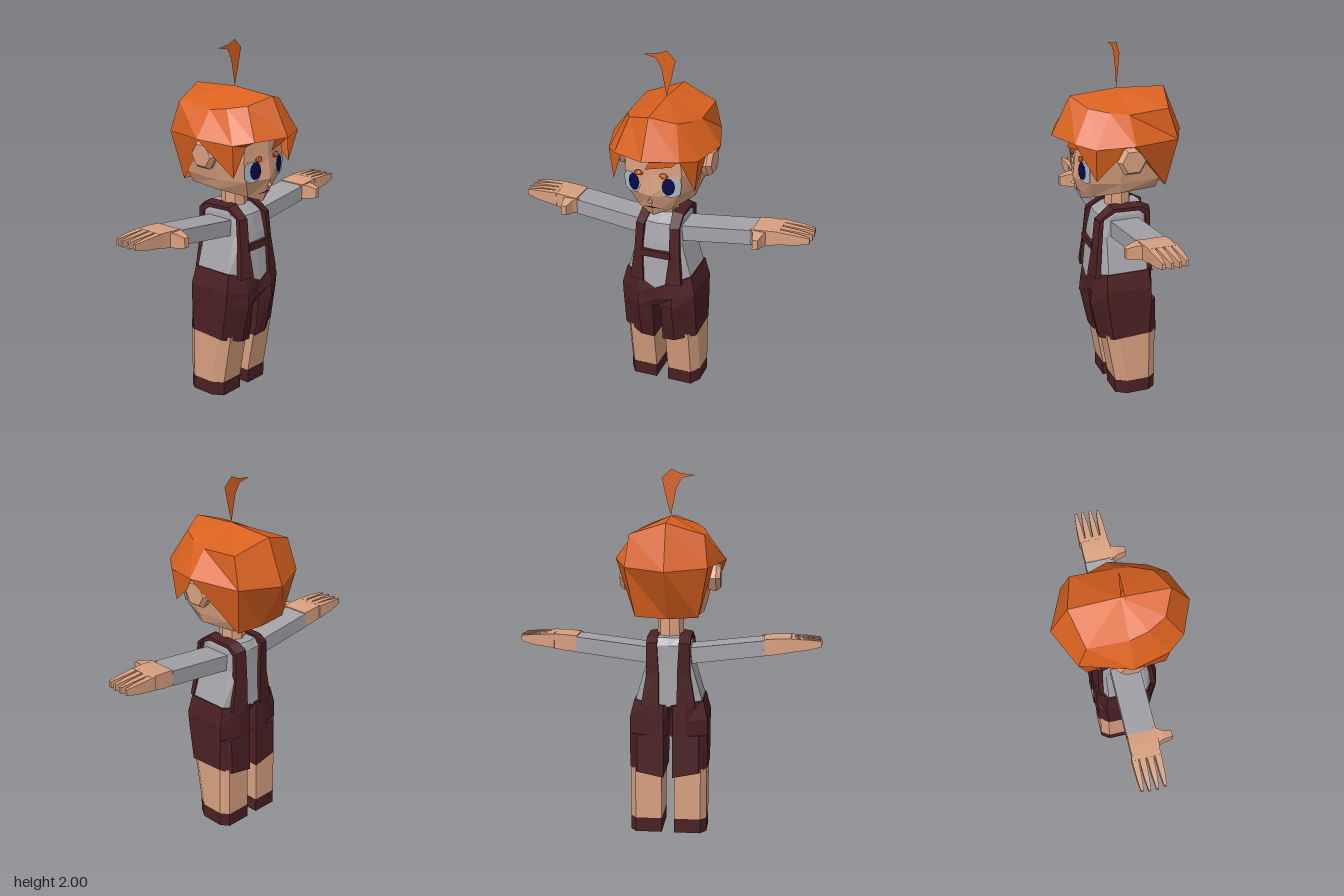
import * as THREE from 'three';

const mat = (name, color, double) => {
  const m = new THREE.MeshStandardMaterial({ color, flatShading: true });
  m.name = name;
  if (double) m.side = THREE.DoubleSide;
  return m;
};

// Skins a list of equal-length point rings; winding is fixed from the enclosed volume.
function loft(rings, capStart = true, capEnd = true) {
  const tris = [], n = rings[0].length;
  for (let r = 0; r + 1 < rings.length; r++)
    for (let i = 0; i < n; i++) {
      const j = (i + 1) % n, a = rings[r], b = rings[r + 1];
      tris.push([a[i], a[j], b[j]], [a[i], b[j], b[i]]);
    }
  const cap = (ring, flip) => {
    const c = [0, 1, 2].map(k => ring.reduce((s, p) => s + p[k], 0) / n);
    ring.forEach((p, i) => {
      const q = ring[(i + 1) % n];
      tris.push(flip ? [c, q, p] : [c, p, q]);
    });
  };
  if (capStart) cap(rings[0], true);
  if (capEnd) cap(rings[rings.length - 1], false);
  const v = p => new THREE.Vector3(...p);
  const o = v(rings[0][0]);
  const volume = tris.reduce((s, t) =>
    s + v(t[0]).sub(o).dot(v(t[1]).sub(o).cross(v(t[2]).sub(o))), 0);
  const g = new THREE.BufferGeometry();
  const flat = tris.flatMap(t => (volume < 0 ? [t[0], t[2], t[1]] : t)).flat();
  g.setAttribute('position', new THREE.Float32BufferAttribute(flat, 3));
  g.computeVertexNormals();
  return g;
}

// Completes a front-to-back half ring with its mirror image.
const mirrorRing = half => [...half, ...half.slice(1, -1).reverse().map(([x, y, z]) => [-x, y, z])];
const level = (y, pts) => pts.map(([x, z]) => [x, y, z]);
const flipX = (rings, s) => rings.map(r => r.map(([x, y, z]) => [x * s, y, z]));

// Height-dependent depth of the face, falling away to both sides.
function faceZ(x, y) {
  const low = y < 1.28;
  const t = low ? (y - 1.145) / 0.135 : Math.min((y - 1.28) / 0.12, 1);
  const mid = low ? 0.2 + 0.05 * t : 0.25 - 0.015 * t;
  const slope = low ? 0.33 + 0.03 * t : 0.36 - 0.14 * t;
  return mid - Math.abs(x) * slope;
}

// Thin face plate from a 2D outline laid over a depth rule.
function plate(pts, depth) {
  const g = new THREE.ShapeGeometry(new THREE.Shape(pts.map(p => new THREE.Vector2(...p))));
  const p = g.attributes.position;
  for (let i = 0; i < p.count; i++) p.setZ(i, depth(p.getX(i), p.getY(i)));
  g.computeVertexNormals();
  return g;
}
const oval = (cx, cy, rx, ry, n = 10) => Array.from({ length: n }, (_, i) => {
  const a = (i / n) * Math.PI * 2;
  return [cx + rx * Math.cos(a), cy + ry * Math.sin(a)];
});

export function createModel() {
  const root = new THREE.Group();
  root.name = 'figure';
  const hair = mat('hair orange', 0xd9611f, true), skin = mat('skin', 0xd8a07f);
  const cloth = mat('shirt grey', 0xa2a2a8), maroon = mat('dark maroon', 0x4a2023);
  const white = mat('eye white', 0xa9bcc2, true), navy = mat('iris navy', 0x07074a, true);
  const lip = mat('mouth brown', 0x6b4a3e, true);
  const add = (name, geo, m) => {
    const mesh = new THREE.Mesh(geo, m);
    mesh.name = name;
    root.add(mesh);
    return mesh;
  };

  // Head and neck
  add('head', loft([
    [[0, 1.145, 0.2], [0.09, 1.18, 0.17], [0.18, 1.22, 0.04], [0.15, 1.22, -0.17], [0, 1.225, -0.19]],
    level(1.28, [[0, 0.25], [0.14, 0.2], [0.2, 0.05], [0.18, -0.18], [0, -0.22]]),
    level(1.4, [[0, 0.235], [0.16, 0.2], [0.225, 0.05], [0.2, -0.17], [0, -0.24]]),
    level(1.5, [[0, 0.23], [0.15, 0.2], [0.215, 0.05], [0.2, -0.17], [0, -0.24]]),
    level(1.6, [[0, 0.2], [0.12, 0.17], [0.19, 0.03], [0.17, -0.16], [0, -0.22]]),
  ].map(mirrorRing)), skin);
  add('neck', new THREE.CylinderGeometry(0.07, 0.075, 0.16, 8), skin).position.set(0, 1.15, -0.005);
  add('nose', new THREE.ConeGeometry(0.016, 0.025, 4), skin).position.set(0, 1.255, 0.245);

  // Hair cap: crown, wide rim, then jagged lower edge
  add('hair', loft([
    Array.from({ length: 6 }, () => [0, 1.75, 0]),
    [[0, 1.73, 0.26], [0.13, 1.69, 0.2], [0.18, 1.67, 0.1], [0.2, 1.655, 0], [0.2, 1.67, -0.22], [0, 1.735, -0.27]],
    [[0, 1.525, 0.365], [0.18, 1.52, 0.29], [0.25, 1.5, 0.2], [0.305, 1.515, 0], [0.22, 1.5, -0.27], [0, 1.49, -0.37]],
    [[0, 1.545, 0.265], [0.17, 1.485, 0.225], [0.23, 1.32, 0.19], [0.24, 1.5, 0], [0.17, 1.23, -0.22], [0, 1.22, -0.225]],
  ].map(mirrorRing), false, false), hair);
  add('fringeLock', plate([[0.04, 1.55], [-0.02, 1.44], [0.12, 1.465], [0.17, 1.51]],
    (x, y) => faceZ(x, y) + 0.04), hair);
  add('cowlick', plate([[0, 1.75], [0.022, 1.83], [0.05, 1.95], [0, 2], [-0.05, 1.978], [-0.13, 1.967],
    [-0.06, 1.952], [-0.03, 1.9]], () => 0), hair);

  // Mouth
  add('mouth', plate([[-0.06, 1.195], [0, 1.213], [0.06, 1.195], [0, 1.203]],
    (x, y) => faceZ(x, y) + 0.008), lip);

  // Torso with a pointed front hem
  add('shirt', loft([
    [[0, 0.68, 0.185], [0.1, 0.73, 0.175], [0.186, 0.74, 0.11], [0.186, 0.74, -0.11], [0.1, 0.73, -0.16], [0, 0.72, -0.16]],
    level(0.95, [[0, 0.152], [0.1, 0.145], [0.125, 0.1], [0.125, -0.11], [0.1, -0.15], [0, -0.15]]),
    level(1.06, [[0, 0.13], [0.09, 0.12], [0.115, 0.07], [0.115, -0.11], [0.09, -0.148], [0, -0.15]]),
    level(1.1, [[0, 0.07], [0.07, 0.06], [0.1, 0.03], [0.1, -0.08], [0.07, -0.12], [0, -0.13]]),
  ].map(mirrorRing)), cloth);
  add('chestStrap', new THREE.BoxGeometry(0.17, 0.04, 0.03), maroon).position.set(0, 0.888, 0.16);

  // Seat of the shorts, notched along the back
  add('shortsSeat', loft([
    level(0.55, [[0, 0.15], [0.1, 0.19], [0.215, 0.12], [0.215, -0.13], [0.1, -0.17], [0.025, -0.17], [0, -0.1]]),
    [[0, 0.6, 0.17], [0.1, 0.63, 0.182], [0.215, 0.65, 0.13], [0.215, 0.65, -0.13], [0.1, 0.64, -0.17], [0.025, 0.64, -0.17], [0, 0.64, -0.1]],
    [[0, 0.68, 0.17], [0.1, 0.73, 0.165], [0.19, 0.75, 0.12], [0.19, 0.75, -0.12], [0.1, 0.74, -0.17], [0.025, 0.73, -0.17], [0, 0.73, -0.15]],
  ].map(mirrorRing)), maroon);

  for (const s of [1, -1]) {
    const side = s > 0 ? 'left' : 'right';
    const part = (name, rings, m) => add(side + name, loft(flipX(rings, s)), m);
    const deco = (name, pts, lift, m) =>
      add(side + name, plate(pts.map(([x, y]) => [x * s, y]), (x, y) => faceZ(x, y) + lift), m);

    // Eye and brow
    deco('EyeWhite', [[0.055, 1.33], [0.075, 1.285], [0.12, 1.272], [0.155, 1.295], [0.162, 1.36],
      [0.145, 1.39], [0.09, 1.39]], 0.008, white);
    deco('Iris', oval(0.097, 1.34, 0.034, 0.05), 0.014, navy);
    const brow = add(side + 'Brow', new THREE.SphereGeometry(1, 8, 5), hair);
    brow.scale.set(0.025, 0.016, 0.012);
    brow.position.set(0.07 * s, 1.397, faceZ(0.07, 1.397) + 0.008);

    // Ear
    const hex = (x, r) => oval(0, 1.42, r, r, 6).map(([z, y]) => [x, y, z]);
    part('Ear', [hex(0.19, 0.07), hex(0.25, 0.085), hex(0.275, 0.065)], skin);

    // Shoulder strap running over from front hem to back hem
    part('Strap', [
      [0.065, 0.15, 0.72, 0.195], [0.08, 0.13, 0.9, 0.172], [0.075, 0.125, 1.05, 0.155],
      [0.06, 0.12, 1.115, 0.065], [0.06, 0.12, 1.11, -0.115], [0.06, 0.12, 1.08, -0.17],
      [0.05, 0.12, 0.9, -0.172], [0.05, 0.15, 0.72, -0.178],
    ].map(([a, b, y, z]) => {
      const yi = y > 1.06 ? y - 0.03 : y;
      return [[a, y, z], [b, y - (y > 1.06 ? 0.01 : 0), z * 0.9], [b, yi, z * 0.75], [a, yi, z * 0.75]];
    }), maroon);

    // Sleeve, palm, fingers and thumb
    const slab = (x, y0, y1, z0, z1) => [[x, y0, z0], [x, y1, z0], [x, y1, z1], [x, y0, z1]];
    part('Sleeve', [slab(0.09, 0.945, 1.035, -0.085, 0.075), slab(0.515, 1.0, 1.085, -0.085, 0.075)], cloth);
    part('Palm', [slab(0.515, 1.002, 1.09, -0.083, 0.073), slab(0.58, 1.008, 1.097, -0.085, 0.075),
      slab(0.66, 1.022, 1.1, -0.083, 0.066)], skin);
    [-0.073, -0.034, 0.009, 0.052].forEach((z, i) => {
      const tip = 0.83 - (i % 3 ? 0 : 0.006);
      part('Finger' + (i + 1), [slab(0.64, 1.022, 1.1, z - 0.018, z + 0.018),
        slab(0.75, 1.037, 1.095, z - 0.014, z + 0.014), slab(tip, 1.055, 1.088, z - 0.007, z + 0.007)], skin);
    });
    const thumb = (z, x0, x1, y0, y1) => [[x0, y0, z], [x1, y0, z], [x1, y1, z], [x0, y1, z]];
    part('Thumb', [thumb(0.06, 0.5, 0.595, 1.01, 1.088), thumb(0.1, 0.525, 0.58, 1.01, 1.088),
      thumb(0.155, 0.54, 0.57, 1.02, 1.075)], skin);

    // Shorts leg with a slanted hem
    part('ShortsLeg', [
      [[0.025, 0.32, 0.13], [0.1, 0.33, 0.14], [0.215, 0.36, 0.09], [0.215, 0.37, -0.12], [0.17, 0.35, -0.175], [0.025, 0.32, -0.175]],
      level(0.56, [[0.025, 0.16], [0.1, 0.19], [0.215, 0.12], [0.215, -0.13], [0.17, -0.17], [0.025, -0.17]]),
    ], maroon);

    // Bare leg and shoe
    const leg = (y, f) => level(y, [[0.035, f], [0.175, f], [0.212, f - 0.06], [0.212, -0.12], [0.18, -0.165], [0.035, -0.165]]);
    part('Leg', [leg(0.08, 0.07), leg(0.37, 0.12)], skin);
    part('Shoe', [leg(0, 0.07), leg(0.08, 0.072)], maroon);
  }
  return root;
}
